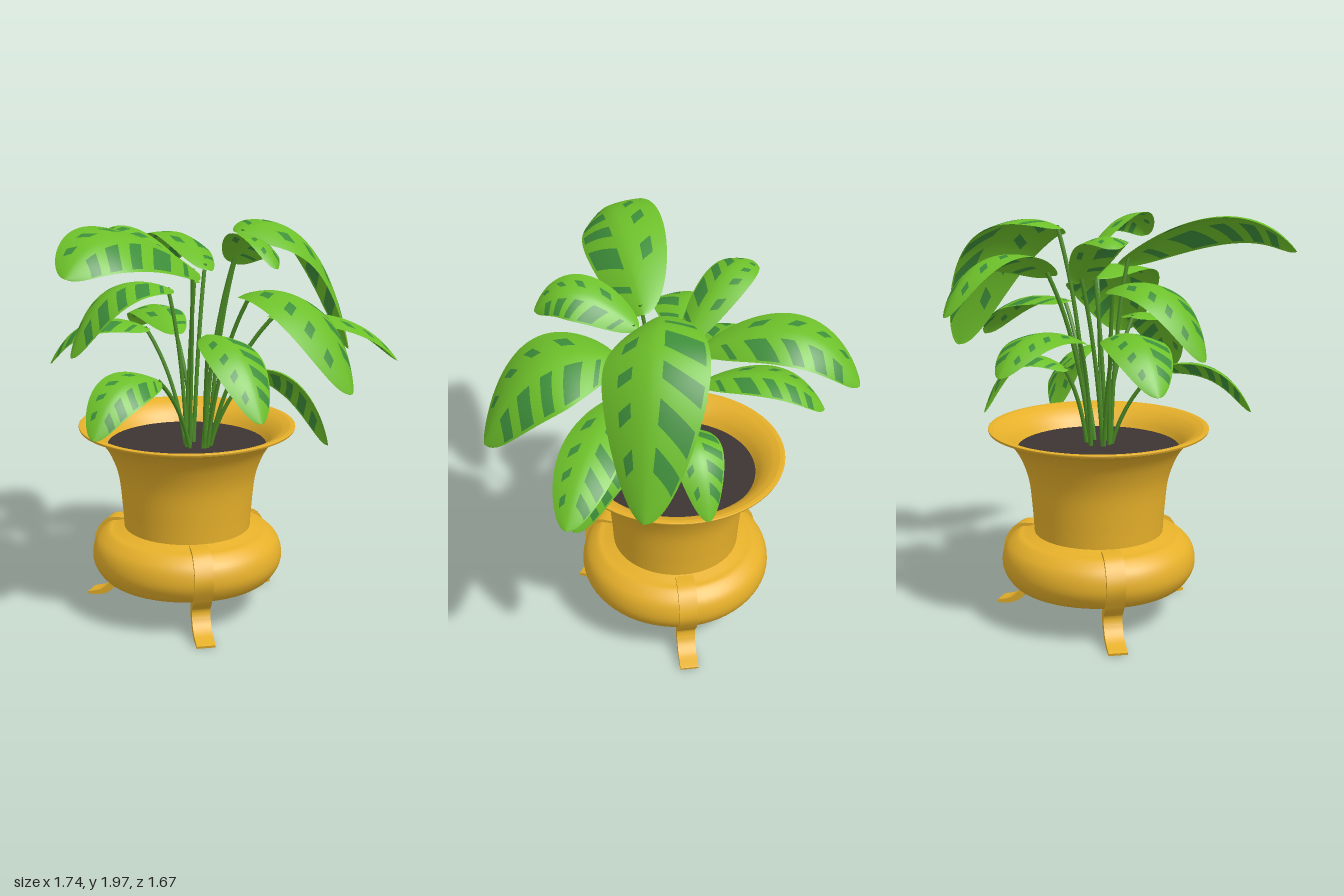
import * as THREE from 'three';
import { toCreasedNormals } from 'three/addons/utils/BufferGeometryUtils.js';

const mat = (name, color, side = THREE.FrontSide) => {
  const m = new THREE.MeshStandardMaterial({ color, side });
  m.name = name;
  return m;
};
const POT_Z = -0.09;

// Each leaf: base, tip, arch height above the chord, half width, optional roll (positive lifts its left edge)
const LEAVES = [
  [-0.05, 1.72, 0.06, -0.88, 1.8, 0.17, 0.18, 0.2, -0.42],
  [0.2, 1.68, -0.17, 0.43, 1.58, -0.84, 0.18, 0.15, 0.3],
  [0.03, 1.38, -0.2, 0.22, 1.31, -0.75, 0.12, 0.13],
  [0.09, 1.64, -0.1, -0.22, 1.86, -0.48, 0.13, 0.12],
  [-0.12, 1.42, -0.22, -0.46, 1.24, -0.58, 0.12, 0.15],
  [-0.06, 1.62, -0.12, -0.57, 1.34, -0.25, 0.16, 0.17],
  [0.12, 1.76, 0.1, -0.02, 1.8, 0.55, 0.13, 0.12, -0.5],
  [0.22, 1.88, 0.02, 0.85, 1.25, 0.17, 0.25, 0.24, 0.25],
  [0.26, 1.5, 0.2, 0.85, 1.25, 0.5, 0.09, 0.14],
  [0.12, 1.62, 0.2, 0.2, 1.25, 0.82, 0.18, 0.24, -0.2],
  [-0.08, 1.45, 0.15, -0.15, 1.13, 0.61, 0.11, 0.14],
  [-0.25, 1.23, 0.02, -0.7, 1.04, 0.1, 0.11, 0.12, -0.45],
  [0.15, 1.22, -0.1, 0.57, 0.99, -0.16, 0.16, 0.12],
  [0.19, 1.22, 0.14, 0.44, 0.88, 0.44, 0.13, 0.15, -0.55],
];

// Dark bands, broad on one half of the leaf and short on the other
function isDark(s, v, strongSide) {
  const a = Math.abs(v), f = (5.5 * s) % 1;
  if (s < 0.08 || s > 0.84) return false;
  return v * strongSide > 0 ? f < 0.55 && a > 0.22 && a < 0.9 : f < 0.4 && a > 0.35 && a < 0.65;
}

// Curved blade swept along its midrib, drooping toward both edges; rows slant toward the tip like veins
function leafGeometry(rib, heading, halfWidth, roll, strongSide) {
  const NU = 72, NV = 28, pos = [], light = [], dark = [];
  const row = (i) => (1 - Math.cos((Math.PI * i) / NU)) / 2;
  const side = new THREE.Vector3(0, 1, 0).cross(heading);
  for (let i = 0; i <= NU; i++) {
    const s = row(i);
    for (let j = 0; j <= NV; j++) {
      const v = (2 * j) / NV - 1, a = Math.abs(v);
      const u = s + 0.7 * a * s * (1 - s);
      const t = rib.getTangent(u);
      const across = side.clone().addScaledVector(t, -side.dot(t)).normalize().applyAxisAngle(t, roll);
      const up = t.clone().cross(across);
      const w = halfWidth * Math.sqrt(Math.max(0, Math.sin(Math.PI * Math.pow(u, 0.9))));
      const p = rib.getPoint(u).addScaledVector(across, v * w).addScaledVector(up, -0.28 * w * Math.pow(a, 1.6));
      pos.push(p.x, p.y, p.z);
    }
  }
  for (let i = 0; i < NU; i++) {
    for (let j = 0; j < NV; j++) {
      const a = i * (NV + 1) + j, b = a + NV + 1;
      const list = isDark(row(i + 0.5), (2 * (j + 0.5)) / NV - 1, strongSide) ? dark : light;
      list.push(a, b, a + 1, b, b + 1, a + 1);
    }
  }
  const g = new THREE.BufferGeometry();
  g.setAttribute('position', new THREE.Float32BufferAttribute(pos, 3));
  g.setIndex([...light, ...dark]);
  g.addGroup(0, light.length, 0);
  g.addGroup(light.length, dark.length, 1);
  g.computeVertexNormals();
  return g;
}

// Smooth lathe through a few profile points
function lathe(points) {
  const curve = new THREE.SplineCurve(points.map((p) => new THREE.Vector2(...p)));
  return new THREE.LatheGeometry(curve.getPoints(32), 64);
}

// S-shaped strap thinning toward the foot, extruded to its width
function legGeometry() {
  const path = new THREE.SplineCurve([[0.32, 0.42], [0.41, 0.405], [0.465, 0.31], [0.425, 0.21],
    [0.375, 0.14], [0.395, 0.07], [0.45, 0.025], [0.53, 0.006]].map((p) => new THREE.Vector2(...p)));
  const outer = [], inner = [], N = 48;
  for (let i = 0; i <= N; i++) {
    const p = path.getPoint(i / N), t = path.getTangent(i / N);
    const half = 0.022 - 0.016 * Math.pow(i / N, 4);
    outer.push(new THREE.Vector2(p.x - t.y * half, Math.max(0, p.y + t.x * half)));
    inner.push(new THREE.Vector2(p.x + t.y * half, Math.max(0, p.y - t.x * half)));
  }
  const g = new THREE.ExtrudeGeometry(new THREE.Shape([...outer, ...inner.reverse()]),
    { depth: 0.09, bevelEnabled: false });
  g.translate(0, 0, -0.045);
  return toCreasedNormals(g, 0.6);
}

export function createModel() {
  const model = new THREE.Group();
  model.name = 'pottedPlant';
  const gold = mat('gold', 0xe6b02a);
  const soil = mat('soil', 0x3d3533);
  const stemGreen = mat('stemGreen', 0x4a8a24);
  const leafGreen = mat('leafGreen', 0x6dc02a, THREE.DoubleSide);
  const darkGreen = mat('darkLeafGreen', 0x3d8e3a, THREE.DoubleSide);
  const add = (parent, name, geometry, material) => {
    const m = new THREE.Mesh(geometry, material);
    m.name = name;
    parent.add(m);
    return m;
  };

  // Pot: base, round bowl, flared neck, rim and inside wall
  const pot = new THREE.Group();
  pot.name = 'pot';
  pot.position.z = POT_Z;
  model.add(pot);
  add(pot, 'base', new THREE.CircleGeometry(0.37, 64).rotateX(Math.PI / 2).translate(0, 0.17, 0), gold);
  add(pot, 'bowl', lathe([[0.36, 0.17], [0.42, 0.19], [0.463, 0.25], [0.47, 0.31], [0.45, 0.37], [0.4, 0.415],
    [0.36, 0.425], [0.31, 0.44]]), gold);
  add(pot, 'neck', lathe([[0.312, 0.43], [0.32, 0.55], [0.337, 0.7], [0.375, 0.81], [0.42, 0.88],
    [0.47, 0.922], [0.526, 0.943]]), gold);
  add(pot, 'rim', lathe([[0.526, 0.943], [0.528, 0.955], [0.505, 0.955]]), gold);
  add(pot, 'insideWall', lathe([[0.505, 0.955], [0.46, 0.935], [0.415, 0.895], [0.375, 0.83]]), gold);
  add(pot, 'soil', new THREE.CircleGeometry(0.395, 64).rotateX(-Math.PI / 2).translate(0, 0.855, 0), soil);

  // Three legs around the bowl
  const leg = legGeometry();
  for (let k = 0; k < 3; k++) add(pot, 'leg', leg, gold).rotation.y = (k * 2 * Math.PI) / 3;

  // Leaves, each on its own bent stem
  for (const [bx, by, bz, tx, ty, tz, arch, halfWidth, roll = 0] of LEAVES) {
    const base = new THREE.Vector3(bx, by, bz), tip = new THREE.Vector3(tx, ty, tz);
    const heading = tip.clone().sub(base).setY(0).normalize();
    const control = base.clone().lerp(tip, 0.68).setY((by + ty) / 2 + 2 * arch);
    const rib = new THREE.QuadraticBezierCurve3(base, control, tip);
    const strongSide = tz < -0.7 ? -1 : 1;
    const plant = new THREE.Group();
    plant.name = 'leafWithStem';
    model.add(plant);
    add(plant, 'leaf', leafGeometry(rib, heading, halfWidth, roll, strongSide), [leafGreen, darkGreen]);
    const root = new THREE.Vector3(0.02 + heading.x * 0.06, 0.84, -0.03 + heading.z * 0.06);
    const bend = root.clone().lerp(base, 0.3).setY(root.y + (by - root.y) * 0.65);
    const stem = new THREE.QuadraticBezierCurve3(root, bend, rib.getPoint(0.04));
    add(plant, 'stem', new THREE.TubeGeometry(stem, 16, 0.01, 6), stemGreen);
  }
  return model;
}
